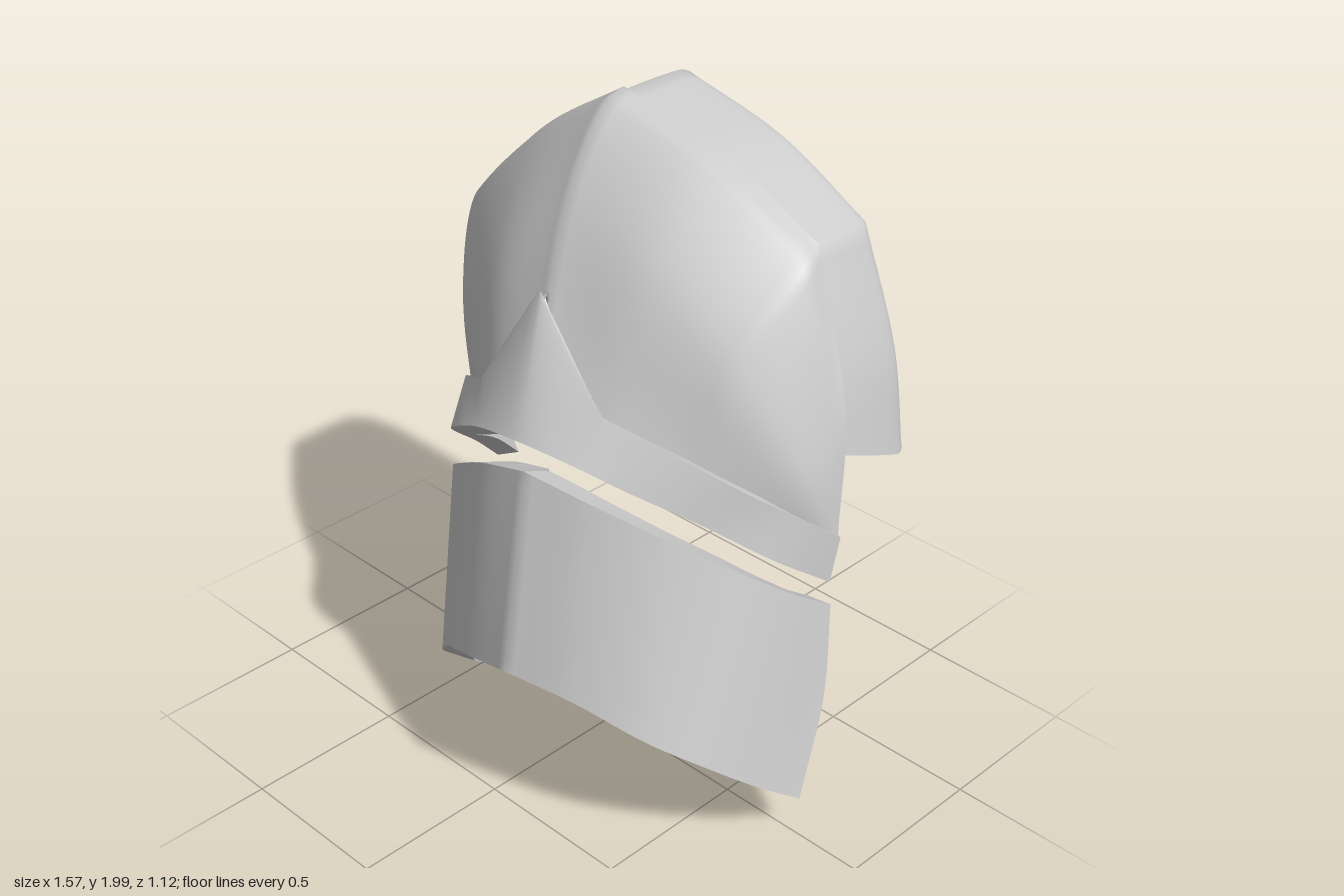
import * as THREE from 'three';
import { mergeGeometries } from 'three/addons/utils/BufferGeometryUtils.js';

const toVectors = row => row.map(p => new THREE.Vector3(...p));
const mixRows = (a, b, t) => a.map((p, i) => p.clone().lerp(b[i], t));

// Spline through a cross-section, kept sharp at the break stations
function sampleSection(points, breaks, steps) {
  const out = [];
  for (let k = 0; k < breaks.length - 1; k++) {
    const curve = new THREE.CatmullRomCurve3(points.slice(breaks[k], breaks[k + 1] + 1));
    const n = (breaks[k + 1] - breaks[k]) * steps;
    for (let j = k ? 1 : 0; j <= n; j++) out.push(curve.getPoint(j / n));
  }
  return out;
}

// Loft the rows; corners fade from sharp breaks to softer ones along the loft
function loft(rows, breaks, endBreaks = breaks, nv = 14, steps = 7) {
  const stations = rows[0].map((_, s) => new THREE.CatmullRomCurve3(rows.map(r => r[s])));
  const grid = [];
  for (let i = 0; i <= nv; i++) {
    const v = i / nv;
    const section = stations.map(c => c.getPoint(v));
    grid.push(mixRows(sampleSection(section, breaks, steps), sampleSection(section, endBreaks, steps), v));
  }
  return grid;
}

function surface(grid, flip = false) {
  const w = grid[0].length, index = [];
  for (let i = 0; i < grid.length - 1; i++) {
    for (let j = 0; j < w - 1; j++) {
      const a = i * w + j, b = a + 1, c = a + w, d = c + 1;
      if (flip) index.push(a, b, c, b, d, c);
      else index.push(a, c, b, b, c, d);
    }
  }
  const g = new THREE.BufferGeometry().setFromPoints(grid.flat());
  g.setIndex(index);
  g.computeVertexNormals();
  return g;
}

function flat(triangles) {
  const g = new THREE.BufferGeometry().setFromPoints(triangles);
  g.computeVertexNormals();
  return g;
}

// Thick curved plate: outer skin, inner skin and the edge between them.
// Thickness runs from the first row to the last; drop lowers the inner last row.
function shell(grid, startThickness, endThickness = startThickness, drop = 0) {
  const outer = surface(grid), normals = outer.attributes.normal, w = grid[0].length;
  const inner = grid.map((row, i) => row.map((p, j) => {
    const v = i / (grid.length - 1);
    const normal = new THREE.Vector3().fromBufferAttribute(normals, i * w + j);
    const q = p.clone().addScaledVector(normal, -THREE.MathUtils.lerp(startThickness, endThickness, v));
    q.y -= drop * Math.sin(Math.PI * j / (w - 1)) * v;
    return q;
  }));
  const border = g => [
    ...g[0], ...g.slice(1).map(r => r[w - 1]),
    ...g[g.length - 1].slice(0, -1).reverse(), ...g.slice(0, -1).reverse().map(r => r[0])];
  const o = border(grid), n = border(inner), edge = [];
  for (let i = 0; i < o.length - 1; i++) edge.push(o[i], o[i + 1], n[i + 1], o[i], n[i + 1], n[i]);
  return mergeGeometries([outer.toNonIndexed(), surface(inner, true).toNonIndexed(), flat(edge)]);
}

// Flat cap closing an outline
function cap(outline, flip) {
  const centre = outline.reduce((s, p) => s.add(p), new THREE.Vector3()).divideScalar(outline.length);
  const t = [];
  outline.forEach((p, i) => {
    const q = outline[(i + 1) % outline.length];
    t.push(centre, ...(flip ? [p, q] : [q, p]));
  });
  return flat(t);
}

export function createModel() {
  const group = new THREE.Group();
  const material = new THREE.MeshStandardMaterial({ color: 0xcccccc, side: THREE.DoubleSide });
  const add = (name, geometry) => {
    const mesh = new THREE.Mesh(geometry, material);
    mesh.name = name;
    group.add(mesh);
  };

  // Ridged dome, from its back edge forward to the rim
  const [domeEdge, domeMiddle, domeFront] = [
    [[-.70, .80, -.18], [-.75, 1.08, -.22], [-.78, 1.55, -.25], [-.52, 1.80, -.26], [-.21, 2, -.26],
      [.16, 1.90, -.28], [.50, 1.74, -.29], [.67, 1.30, -.24], [.71, .94, -.19]],
    [[-.685, .76, -.165], [-.71, 1, -.11], [-.64, 1.29, 0], [-.39, 1.55, .07], [-.15, 1.77, .02],
      [.20, 1.66, .04], [.48, 1.46, .02], [.66, 1.14, -.08], [.705, .89, -.18]],
    [[-.645, .69, -.14], [-.57, .83, -.03], [-.45, .96, .13], [-.22, 1.15, .29], [.02, 1.22, .35],
      [.27, 1.16, .27], [.475, 1.08, .13], [.61, .97, -.01], [.695, .83, -.17]],
  ].map(toVectors);
  // Swell just in front of the back edge, fading out at the sides
  const domeCentre = new THREE.Vector3(0, 1.2, -.3);
  const domeSwell = mixRows(domeEdge, domeMiddle, .25).map((p, s) =>
    s > 1 && s < 7 ? p.sub(domeCentre).multiplyScalar(1.05).add(domeCentre) : p);
  add('dome', shell(loft([domeEdge, domeSwell, domeMiddle, domeFront], [0, 2, 4, 6, 8], [0, 4, 8], 30, 10), .03));

  // Rim band with a pointed peak at the centre
  const rimRows = [
    [[-.71, .77, -.16], [-.645, .92, -.03], [-.555, 1.03, .07], [-.43, 1.15, .18], [-.25, 1.25, .28], [-.08, 1.57, .20],
      [.22, 1.31, .26], [.42, 1.24, .18], [.57, 1.15, .08], [.67, 1.04, -.06], [.72, .94, -.19]],
    [[-.65, .645, -.13], [-.57, .80, .03], [-.48, .94, .19], [-.35, 1.06, .31], [-.16, 1.17, .38], [.02, 1.21, .40],
      [.19, 1.19, .36], [.36, 1.13, .28], [.50, 1.06, .18], [.65, .93, .02], [.715, .80, -.16]],
  ].map(toVectors);
  add('rimBand', shell(loft(rimRows, [0, 4, 5, 6, 10], [0, 10]), .03, .07));

  // Lower band, bowed a little backward at its ends
  const bandTop = toVectors([[-.62, .55, -.13], [-.56, .70, .06], [-.46, .84, .22], [-.33, .94, .30], [-.16, 1.04, .36],
    [.04, 1.11, .385], [.25, 1.07, .33], [.45, 1, .235], [.60, .91, .11], [.68, .80, -.04], [.70, .70, -.19]]);
  const bandBottom = toVectors([[-.52, .01, .08], [-.44, .15, .25], [-.36, .28, .38], [-.25, .39, .45], [-.10, .47, .51],
    [.13, .555, .56], [.35, .53, .50], [.55, .45, .41], [.67, .36, .29], [.74, .25, .15], [.78, .14, 0]]);
  const bandMiddle = mixRows(bandTop, bandBottom, .5);
  bandMiddle[0].z -= .04;
  bandMiddle[10].z -= .04;
  add('lowerBand', shell(loft([bandTop, bandMiddle, bandBottom], [0, 5, 10]), .095, .095, .045));

  // Hollow back plate, open below, with a rounded rear edge
  const plateFront = toVectors([[-.74, 1.02, -.19], [-.765, 1.3, -.22], [-.77, 1.55, -.25], [-.52, 1.79, -.26], [-.21, 1.99, -.26],
    [.16, 1.89, -.28], [.49, 1.73, -.29], [.62, 1.42, -.26], [.685, 1.18, -.22]]);
  const plateBack = toVectors([[-.71, .87, -.51], [-.76, 1.2, -.51], [-.775, 1.535, -.505], [-.52, 1.78, -.52], [-.21, 1.98, -.53],
    [.16, 1.88, -.535], [.47, 1.715, -.54], [.595, 1.35, -.555], [.645, 1.03, -.56]]);
  const centre = new THREE.Vector3(-.04, 1.45, 0);
  const swell = (row, k) => row.map(p => new THREE.Vector3(
    centre.x + (p.x - centre.x) * k, centre.y + (p.y - centre.y) * k, p.z));
  const plateRows = [
    swell(plateBack, .985), swell(mixRows(plateBack, plateFront, .1), 1.005),
    swell(mixRows(plateBack, plateFront, .45), 1.01), plateFront];
  const corners = [0, 2, 4, 6, 8];
  const plate = loft(plateRows, corners, corners, 18, 7);
  const rear = plate[0], inside = plate[4];
  const backEdge = [rear[0], rear.at(-1), inside.at(-1), rear[0], inside.at(-1), inside[0]];
  add('backPlate', mergeGeometries([
    shell(plate, .025), cap(rear, true), cap(inside, false), flat(backEdge)]));

  return group;
}
